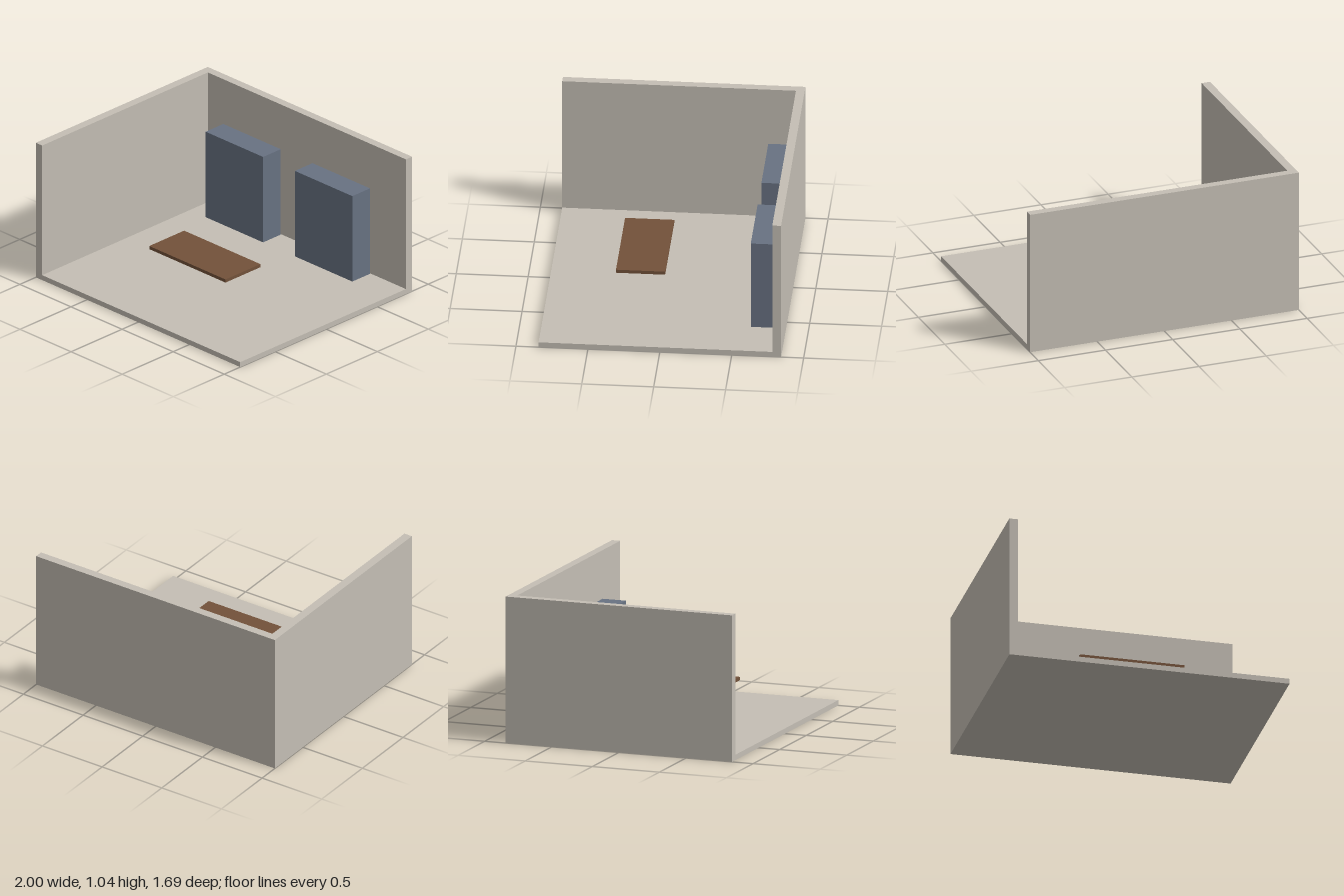
import * as THREE from 'three';

export function createModel() {
  const model = new THREE.Group();
  const plaster = new THREE.MeshStandardMaterial({ color: 0xc4beb4 });
  plaster.name = 'warm grey plaster';
  const slate = new THREE.MeshStandardMaterial({ color: 0x687282 });
  slate.name = 'slate blue';
  const wood = new THREE.MeshStandardMaterial({ color: 0x73523a });
  wood.name = 'brown wood';

  // Box given by its extents along each axis
  function addBox(name, material, [x0, x1], [y0, y1], [z0, z1]) {
    const mesh = new THREE.Mesh(new THREE.BoxGeometry(x1 - x0, y1 - y0, z1 - z0), material);
    mesh.position.set((x0 + x1) / 2, (y0 + y1) / 2, (z0 + z1) / 2);
    mesh.name = name;
    model.add(mesh);
  }

  // Room shell: floor and two walls meeting in a corner
  addBox('floor', plaster, [-1, 1], [0, 0.038], [-0.843, 0.843]);
  addBox('backWall', plaster, [-1, 1], [0.038, 1.038], [-0.843, -0.782]);
  addBox('sideWall', plaster, [-1, -0.938], [0.038, 1.038], [-0.782, 0.843]);

  // Two cabinets standing just in front of the back wall
  for (const [name, x] of [['rightCabinet', -0.5], ['leftCabinet', 0.373]]) {
    addBox(name, slate, [x - 0.281, x + 0.281], [0.038, 0.697], [-0.776, -0.603]);
  }

  // Floating table top
  addBox('tableTop', wood, [-0.374, 0.372], [0.266, 0.29], [0.016, 0.358]);

  return model;
}
